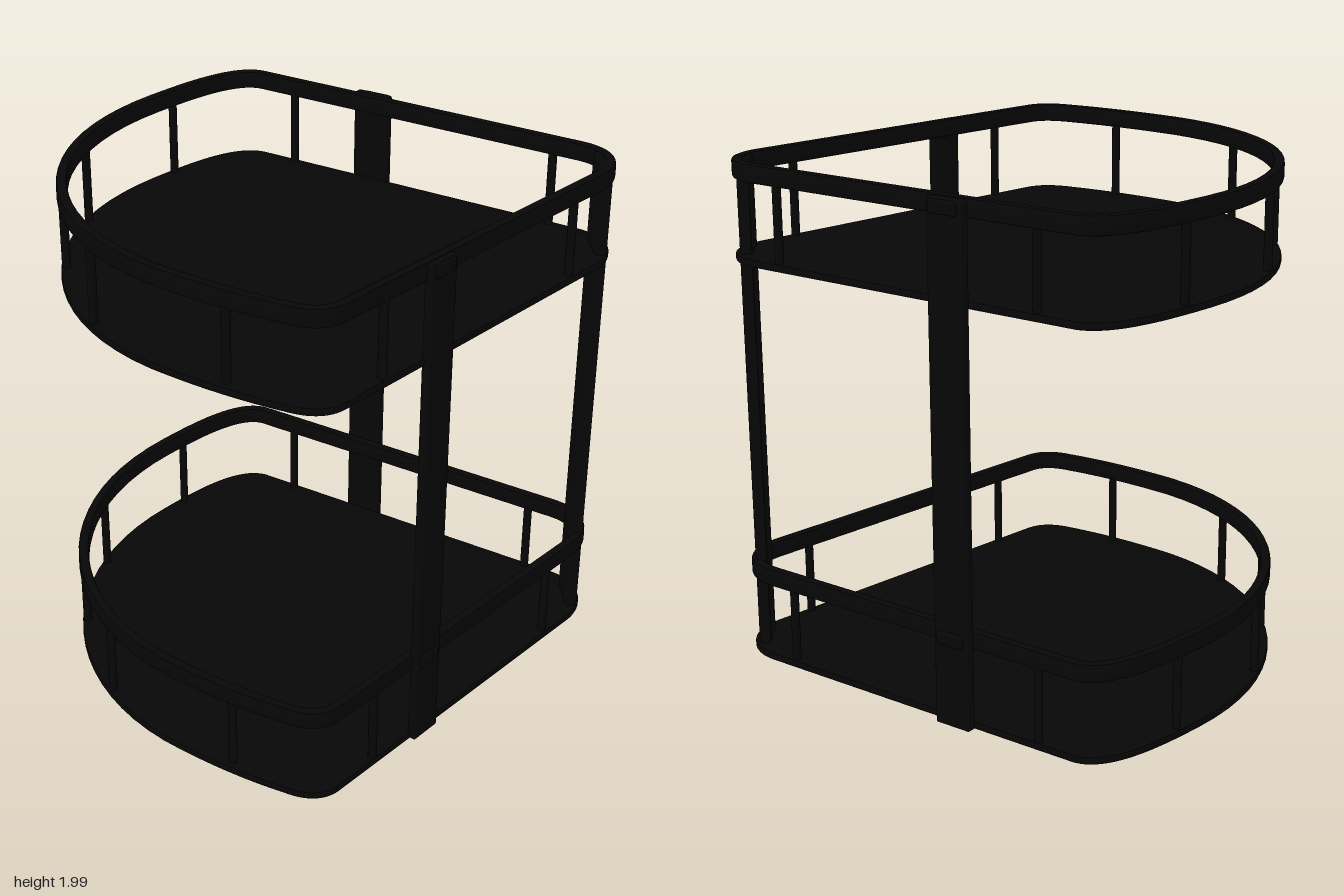
import * as THREE from 'three';
import { toCreasedNormals } from 'three/addons/utils/BufferGeometryUtils.js';
import { RoundedBoxGeometry } from 'three/addons/geometries/RoundedBoxGeometry.js';

const black = new THREE.MeshStandardMaterial({ color: 0x070707 });
black.name = 'black metal';

// Corner-shelf footprint, drawn clockwise in (x, -z)
function footprint() {
  const s = new THREE.Shape();
  s.moveTo(0.66, 0.94);
  s.bezierCurveTo(0.80, 0.96, 0.915, 0.86, 0.905, 0.70);
  s.lineTo(0.885, -0.72);
  s.quadraticCurveTo(0.885, -0.84, 0.74, -0.87);
  s.quadraticCurveTo(0.50, -0.935, 0.20, -0.945);
  s.bezierCurveTo(-0.40, -0.945, -0.93, -0.45, -0.93, 0.22);
  s.bezierCurveTo(-0.93, 0.45, -0.92, 0.70, -0.78, 0.735);
  s.lineTo(0.66, 0.94);
  const pts = s.getPoints(20);
  if (pts[0].distanceTo(pts[pts.length - 1]) < 1e-6) pts.pop();
  return pts;
}

// Move a clockwise outline inwards by d
function inset(pts, d) {
  const n = pts.length;
  return pts.map((p, i) => {
    const a = pts[(i + n - 1) % n], b = pts[(i + 1) % n];
    const t1 = p.clone().sub(a).normalize(), t2 = b.clone().sub(p).normalize();
    const t = t1.add(t2).normalize();
    return new THREE.Vector2(p.x + t.y * d, p.y - t.x * d);
  });
}

// Extrude a flat shape upwards to a total height with a softened edge
function slab(shape, height, bevel) {
  const g = new THREE.ExtrudeGeometry(shape, {
    depth: height - 2 * bevel, bevelEnabled: true,
    bevelThickness: bevel, bevelSize: bevel, bevelSegments: 2,
  });
  g.rotateX(-Math.PI / 2);
  g.translate(0, bevel, 0);
  return toCreasedNormals(g, 0.6);
}

function add(parent, name, geometry, x = 0, y = 0, z = 0) {
  const m = new THREE.Mesh(geometry, black);
  m.name = name;
  m.position.set(x, y, z);
  parent.add(m);
}

export function createModel() {
  const model = new THREE.Group();
  model.name = 'cornerShelf';
  // Extrude expects a counter-clockwise outline and a clockwise hole
  const outline = footprint();
  const plateGeo = slab(new THREE.Shape(inset(outline, 0.006).reverse()), 0.03, 0.006);
  const railShape = new THREE.Shape(inset(outline, 0.01).reverse());
  railShape.holes.push(new THREE.Path(inset(outline, 0.03)));
  const railGeo = slab(railShape, 0.072, 0.01);
  const rodGeo = new THREE.CylinderGeometry(0.017, 0.017, 0.31, 12);

  // Rod positions around the rim (x, z)
  const rods = [
    [-0.907, -0.32], [-0.81, 0.26], [-0.565, 0.61], [-0.15, 0.868], [0.50, 0.883],
    [0.555, -0.905], [-0.61, -0.737], [0.87, 0.52], [0.88, -0.565],
  ];

  // Uprights: name, x, z, turn, width, thickness, clip offset
  const uprights = [
    ['backPost', -0.267, -0.825, 0.141, 0.155, 0.04, -0.02],
    ['sidePost', 0.895, 0.248, Math.PI / 2, 0.138, 0.036, 0.012],
    ['cornerPost', 0.82, -0.843, -Math.PI / 4, 0.165, 0.045, -0.02],
  ];

  // Two trays, each a plate, a rim rail and rods
  [['lowerTray', 0], ['upperTray', 1.6]].forEach(([name, y]) => {
    const tray = new THREE.Group();
    tray.name = name;
    tray.position.y = y;
    add(tray, 'shelfPlate', plateGeo);
    add(tray, 'rimRail', railGeo, 0, 0.318, 0);
    rods.forEach(([x, z]) => add(tray, 'rod', rodGeo, x, 0.175, z));
    model.add(tray);
  });

  // Posts, with small clips where they hold the rails
  uprights.forEach(([name, x, z, turn, w, t, out]) => {
    const post = new THREE.Group();
    post.name = name;
    add(post, 'bar', new RoundedBoxGeometry(w, 1.985, t, 2, 0.008), 0, 0.9925, 0);
    const clipGeo = new RoundedBoxGeometry(w * 0.75, 0.05, 0.03, 2, 0.008);
    [0.355, 1.955].forEach((y) => add(post, 'clip', clipGeo, 0, y, out));
    post.position.set(x, 0, z);
    post.rotation.y = turn;
    model.add(post);
  });

  return model;
}
